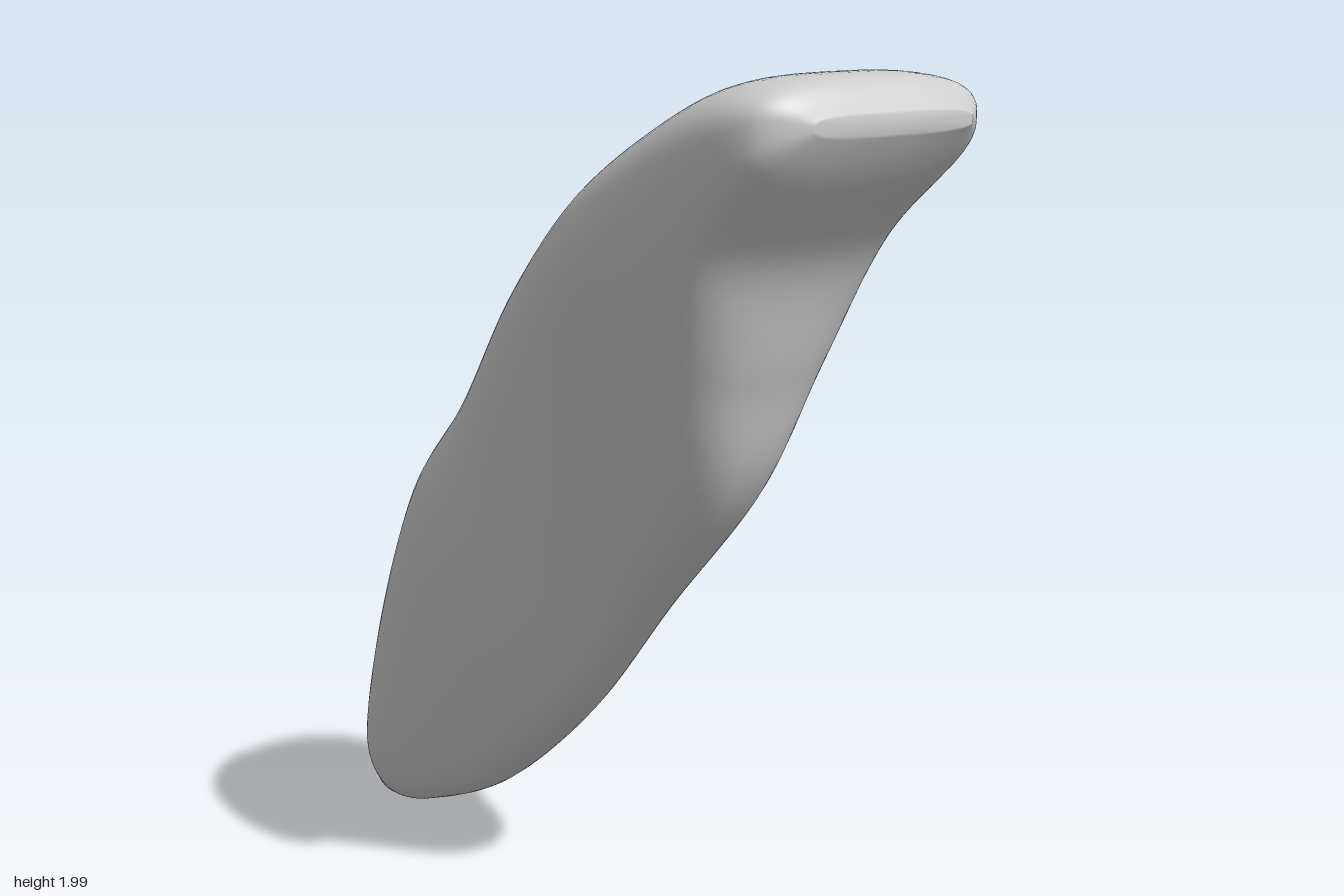
import * as THREE from 'three';

// Cross-sections from biting edge to root tip:
// front z, front y, back z, back y, half width right, half width left
const SECTIONS = [
  [0.925, 1.88, 0.925, 1.92, 0.18, 0.21],
  [0.85, 1.78, 0.84, 1.99, 0.285, 0.285],
  [0.68, 1.59, 0.6, 1.96, 0.31, 0.31],
  [0.585, 1.33, 0.2, 1.76, 0.295, 0.3],
  [0.48, 1.06, -0.13, 1.49, 0.24, 0.25],
  [0.2, 0.74, -0.38, 1.18, 0.2, 0.23],
  [-0.08, 0.42, -0.6, 0.94, 0.19, 0.23],
  [-0.4, 0.16, -0.79, 0.585, 0.15, 0.195],
  [-0.68, 0.035, -0.905, 0.23, 0.11, 0.125],
  [-0.82, 0.003, -0.925, 0.06, 0.045, 0.06],
  [-0.86, 0.003, -0.91, 0.025, 0.02, 0.035],
];
const AROUND = 56;
const ALONG = 90;

// Smooth Catmull-Rom blend of the section values at s in 0..1
function sectionAt(s) {
  const last = SECTIONS.length - 1;
  const i = Math.min(Math.floor(s * last), last - 1);
  const t = s * last - i;
  const row = (k) => SECTIONS[THREE.MathUtils.clamp(k, 0, last)];
  const [a, b, c, d] = [row(i - 1), row(i), row(i + 1), row(i + 2)];
  return b.map((v, k) => v + 0.5 * t * (c[k] - a[k]
    + t * (2 * a[k] - 5 * v + 4 * c[k] - d[k] + t * (3 * (v - c[k]) + d[k] - a[k]))));
}

// Rounded ring: squarish at the crown, narrowed toward the front mid-length
function ringPoints(s) {
  const [fz, fy, bz, by, wr, wl] = sectionAt(s);
  const taper = 0.45 * Math.sin(Math.PI * s) ** 2;
  const exponent = 0.6 + 0.35 * s;
  const skew = 0.1 * Math.max(0, 1 - s * 4);
  const power = (v) => Math.sign(v) * Math.abs(v) ** exponent;
  const profile = [];
  for (let j = 0; j < AROUND; j++) {
    const a = (j / AROUND) * Math.PI * 2;
    const u = power(Math.sin(a));
    profile.push([power(Math.cos(a)) * (1 - taper * (1 - u) / 2), u]);
  }
  const widest = Math.max(...profile.map((p) => p[0]));
  return profile.map(([px, u]) => {
    const x = (px / widest) * (px > 0 ? wl : wr);
    const k = (u + 1) / 2;
    return new THREE.Vector3(x, fy + (by - fy) * k, fz + (bz - fz) * k + skew * (x - 0.2));
  });
}

function toothGeometry() {
  const points = [];
  const index = [];
  for (let i = 0; i <= ALONG; i++) points.push(...ringPoints(i / ALONG));
  for (let i = 0; i < ALONG; i++) {
    for (let j = 0; j < AROUND; j++) {
      const a = i * AROUND + j;
      const b = i * AROUND + (j + 1) % AROUND;
      index.push(a, a + AROUND, b, b, a + AROUND, b + AROUND);
    }
  }
  // Close the biting edge and the root tip
  for (const [start, flip] of [[0, false], [ALONG * AROUND, true]]) {
    const centre = new THREE.Vector3();
    for (let j = 0; j < AROUND; j++) centre.addScaledVector(points[start + j], 1 / AROUND);
    const c = points.push(centre) - 1;
    for (let j = 0; j < AROUND; j++) {
      const a = start + j;
      const b = start + (j + 1) % AROUND;
      index.push(c, flip ? b : a, flip ? a : b);
    }
  }
  const geometry = new THREE.BufferGeometry().setFromPoints(points);
  geometry.setIndex(index);
  geometry.computeVertexNormals();
  return geometry;
}

export function createModel() {
  const group = new THREE.Group();
  group.name = 'incisorTooth';
  const enamel = new THREE.MeshStandardMaterial({ color: 0xcccccc });
  enamel.name = 'light grey';
  const tooth = new THREE.Mesh(toothGeometry(), enamel);
  tooth.name = 'crownAndRoot';
  group.add(tooth);
  return group;
}
